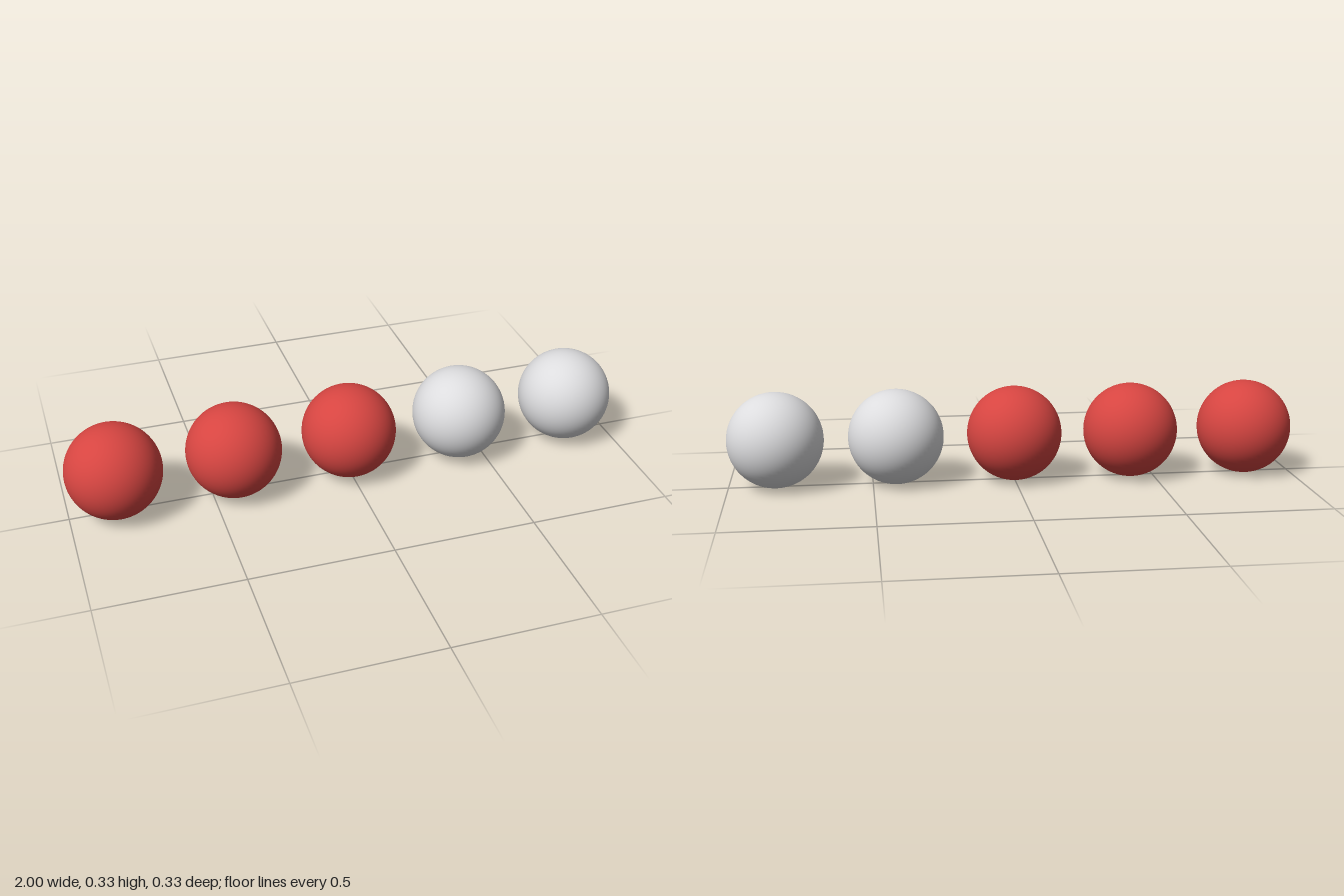
import * as THREE from 'three';

export function createModel() {
  const model = new THREE.Group();
  model.name = 'ballRow';

  const red = new THREE.MeshStandardMaterial({ name: 'red', color: 0xd64541 });
  const lightGrey = new THREE.MeshStandardMaterial({ name: 'lightGrey', color: 0xdcdcde });

  // Five equal balls in a row, with gaps of half a radius
  const radius = 1 / 6;
  const spacing = radius * 2.5;
  const ball = new THREE.SphereGeometry(radius, 64, 40);

  // Three red balls on the model's right, two grey on its left
  [red, red, red, lightGrey, lightGrey].forEach((material, i) => {
    const mesh = new THREE.Mesh(ball, material);
    mesh.name = `${material === red ? 'redBall' : 'greyBall'}${i + 1}`;
    mesh.position.set((i - 2) * spacing, radius, 0);
    model.add(mesh);
  });

  return model;
}
